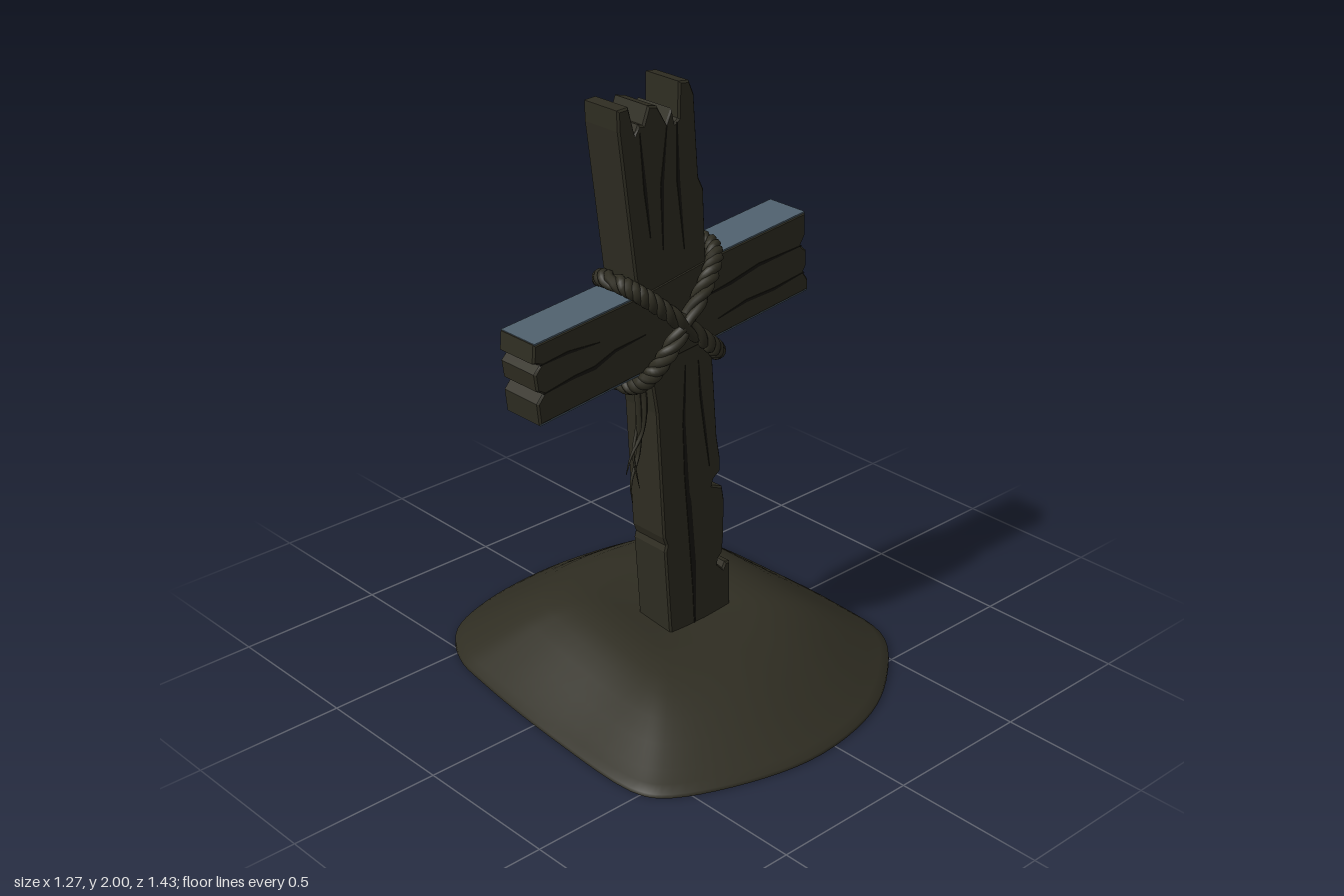
import * as THREE from 'three';

const V2 = (a) => a.map(([x, y]) => new THREE.Vector2(x, y));
const V3 = (a) => a.map(([x, y, z]) => new THREE.Vector3(x, y, z));

// Plank cut from an outline, with slightly worn edges
function plank(outline, z0, z1, mat, name) {
  const b = 0.006;
  const geo = new THREE.ExtrudeGeometry(new THREE.Shape(V2(outline)), {
    depth: z1 - z0 - 2 * b, bevelThickness: b, bevelSize: b, bevelOffset: -b, bevelSegments: 1,
  });
  geo.translate(0, 0, z0 + b);
  const mesh = new THREE.Mesh(geo, mat);
  mesh.name = name;
  return mesh;
}

// Tapered crack laid on the front and back of a plank
function crack(points, width, z0, z1, mat) {
  const group = new THREE.Group();
  group.name = 'crack';
  const p = V2(points), up = [], down = [];
  p.forEach((q, i) => {
    const t = p[Math.min(i + 1, p.length - 1)].clone().sub(p[Math.max(i - 1, 0)]).normalize();
    const w = 0.0012 + width * 0.5 * Math.sin(Math.PI * i / (p.length - 1));
    const n = new THREE.Vector2(-t.y, t.x).multiplyScalar(w);
    up.push(q.clone().add(n));
    down.unshift(q.clone().sub(n));
  });
  const geo = new THREE.ExtrudeGeometry(new THREE.Shape([...up, ...down]), { depth: 0.004, bevelEnabled: false });
  for (const z of [z0 - 0.002, z1 - 0.002]) {
    const mesh = new THREE.Mesh(geo, mat);
    mesh.position.z = z;
    group.add(mesh);
  }
  return group;
}

// One strand twisted around a rounded loop through the crossing
class Strand extends THREE.Curve {
  constructor(cx, cy, angle, half, phase) {
    super();
    Object.assign(this, { cx, cy, angle, half, phase });
  }
  core(t) {
    const a = t * Math.PI * 2, e = 2 / 3.2;
    const pw = (v) => Math.sign(v) * Math.pow(Math.abs(v), e);
    return [this.half * pw(Math.cos(a)), 0.115 * pw(Math.sin(a))];
  }
  getPoint(t, target = new THREE.Vector3()) {
    const [u, w] = this.core(t), a = t * Math.PI * 2;
    const twist = a * 11 + this.phase, r = 0.014;
    const out = 1 + 0;
    const du = Math.cos(a) * Math.cos(twist) * r * out;
    const dw = Math.sin(a) * Math.cos(twist) * r * out;
    const side = Math.sin(twist) * r;
    const c = Math.cos(this.angle), s = Math.sin(this.angle);
    return target.set(
      this.cx + (u + du) * c - side * s,
      this.cy + (u + du) * s + side * c,
      0.025 + w + dw);
  }
}

// Mound built from rings scaled inwards from its outline
function moundGeometry(outline) {
  const N = outline.length, pos = [], idx = [];
  const profile = [[0.02, 0.19], [0.15, 0.193], [0.3, 0.207], [0.4, 0.21], [0.5, 0.2], [0.6, 0.178],
    [0.7, 0.143], [0.8, 0.1], [0.9, 0.055], [0.96, 0.03], [1, 0.014], [1.002, 0]];
  for (const [s, h] of profile) {
    for (const p of outline) {
      const x = p.x * s, z = p.y * s;
      const lean = 1 - 0.13 * THREE.MathUtils.smoothstep(z, -0.15, 0.25) + 0.06 * THREE.MathUtils.smoothstep(-z, 0, 0.3);
      pos.push(x, h * lean, z);
    }
  }
  for (let i = 0; i < profile.length - 1; i++) {
    for (let j = 0; j < N; j++) {
      const k = (j + 1) % N, a = i * N + j, b = i * N + k, c = a + N, d = b + N;
      idx.push(a, d, c, a, b, d);
    }
  }
  for (let j = 1; j < N - 1; j++) idx.push(0, j + 1, j);
  const geo = new THREE.BufferGeometry();
  geo.setAttribute('position', new THREE.Float32BufferAttribute(pos, 3));
  geo.setIndex(idx);
  geo.computeVertexNormals();
  return geo;
}

export function createModel() {
  const model = new THREE.Group();
  model.name = 'woodenGraveMarker';
  const olive = new THREE.MeshStandardMaterial({ color: 0x2f2d22 });
  olive.name = 'darkOlive';
  const blue = new THREE.MeshStandardMaterial({ color: 0x4f606d });
  blue.name = 'slateBlue';
  const dark = new THREE.MeshStandardMaterial({ color: 0x17160f });
  dark.name = 'crackBlack';

  // Earth mound
  const edge = new THREE.CatmullRomCurve3(V3([
    [0, 0, -0.71], [0.18, 0, -0.7], [0.41, 0, -0.65], [0.54, 0, -0.58], [0.59, 0, -0.44], [0.61, 0, -0.17],
    [0.615, 0, 0.13], [0.58, 0, 0.385], [0.41, 0, 0.56], [0.2, 0, 0.675], [-0.09, 0, 0.72], [-0.36, 0, 0.665],
    [-0.57, 0, 0.56], [-0.615, 0, 0.48], [-0.61, 0, 0.1], [-0.57, 0, -0.29], [-0.535, 0, -0.46],
    [-0.44, 0, -0.6], [-0.25, 0, -0.68]]), true);
  const outline = edge.getPoints(96).slice(0, 96).map((p) => new THREE.Vector2(p.x, p.z));
  const mound = new THREE.Mesh(moundGeometry(outline), olive);
  mound.name = 'mound';
  const under = new THREE.Mesh(new THREE.ShapeGeometry(new THREE.Shape(outline)).rotateX(Math.PI / 2), olive);
  under.name = 'moundUnderside';
  model.add(mound, under);

  // Upright post with splintered top and chipped edges
  model.add(plank([
    [-0.11, 0.1], [0.15, 0.1], [0.147, 0.34], [0.125, 0.345], [0.115, 0.325], [0.092, 0.35], [0.096, 0.37],
    [0.113, 0.385], [0.118, 0.44], [0.12, 0.57], [0.11, 0.625], [0.065, 0.645], [0.072, 0.665], [0.1, 0.685],
    [0.1, 0.73], [0.085, 0.81], [0.066, 1.05], [0.03, 1.45], [0.02, 1.65], [0, 1.69], [-0.008, 1.79],
    [-0.02, 1.95], [-0.04, 1.995], [-0.08, 2], [-0.083, 1.89], [-0.097, 1.88], [-0.11, 1.926], [-0.13, 1.885],
    [-0.165, 1.945], [-0.2, 1.953], [-0.22, 1.9], [-0.238, 1.905], [-0.252, 1.878], [-0.275, 1.965],
    [-0.317, 1.963], [-0.315, 1.9], [-0.254, 1.44], [-0.17, 0.97], [-0.143, 0.53], [-0.132, 0.5], [-0.138, 0.48],
  ], -0.05, 0.1, olive, 'post'));

  // Crossbeam with ragged ends
  model.add(plank([
    [-0.63, 1.085], [-0.2, 1.13], [0.06, 1.155], [0.476, 1.2], [0.474, 1.235], [0.453, 1.265], [0.466, 1.285],
    [0.464, 1.335], [0.438, 1.358], [0.458, 1.39], [0.455, 1.465], [0.03, 1.423], [-0.25, 1.378], [-0.645, 1.343],
    [-0.65, 1.285], [-0.622, 1.275], [-0.646, 1.25], [-0.638, 1.195], [-0.614, 1.182], [-0.638, 1.155],
  ], -0.053, 0.103, olive, 'crossbeam'));

  // Pale faces along the top and bottom of the crossbeam
  for (const [x0, y0, x1, y1] of [
    [-0.642, 1.343, -0.25, 1.378], [0.03, 1.423, 0.453, 1.465],
    [-0.628, 1.085, -0.2, 1.13], [0.06, 1.155, 0.473, 1.2]]) {
    const plate = new THREE.Mesh(new THREE.BoxGeometry(Math.hypot(x1 - x0, y1 - y0), 0.005, 0.15), blue);
    plate.position.set((x0 + x1) / 2, (y0 + y1) / 2, 0.025);
    plate.rotation.z = Math.atan2(y1 - y0, x1 - x0);
    plate.name = 'beamEdgeFace';
    model.add(plate);
  }

  // Grain cracks on the post, then on the crossbeam
  for (const [pts, w] of [
    [[[-0.055, 1.1], [-0.06, 0.9], [-0.05, 0.72], [-0.03, 0.5], [-0.015, 0.3], [-0.012, 0.17]], 0.014],
    [[[-0.05, 0.71], [-0.035, 0.62], [-0.015, 0.4], [-0.008, 0.18]], 0.012],
    [[[0.0, 1.1], [0.01, 0.98], [0.03, 0.85], [0.05, 0.72]], 0.007],
    [[[-0.235, 1.88], [-0.215, 1.7], [-0.195, 1.55]], 0.009],
    [[[-0.13, 1.88], [-0.15, 1.7], [-0.145, 1.5]], 0.01],
    [[[-0.09, 1.88], [-0.085, 1.7], [-0.06, 1.48]], 0.01]]) model.add(crack(pts, w, -0.05, 0.1, dark));
  for (const [pts, w] of [
    [[[-0.615, 1.182], [-0.5, 1.2], [-0.42, 1.205], [-0.34, 1.235], [-0.22, 1.25]], 0.01],
    [[[-0.625, 1.275], [-0.52, 1.285], [-0.4, 1.28]], 0.007],
    [[[0.0, 1.3], [0.13, 1.318], [0.25, 1.345], [0.438, 1.358]], 0.01],
    [[[0.08, 1.215], [0.2, 1.24], [0.32, 1.245], [0.453, 1.265]], 0.008]]) model.add(crack(pts, w, -0.053, 0.103, dark));

  // Twisted rope lashing, two crossed loops
  for (const [cx, cy, dx, dy, half] of [[-0.09, 1.253, -0.41, 0.355, 0.243], [-0.0875, 1.267, 0.365, 0.42, 0.25]]) {
    const rope = new THREE.Group();
    rope.name = 'ropeLoop';
    for (let i = 0; i < 3; i++) {
      const strand = new Strand(cx, cy, Math.atan2(dy, dx), half, i * Math.PI * 2 / 3);
      const mesh = new THREE.Mesh(new THREE.TubeGeometry(strand, 220, 0.0155, 7, true), olive);
      mesh.name = 'ropeStrand';
      rope.add(mesh);
    }
    model.add(rope);
  }

  // Frayed rope ends hanging beside the post
  for (const [pts, r] of [
    [[[-0.2, 1.09, 0.06], [-0.187, 1.0, 0.06], [-0.195, 0.9, 0.055], [-0.235, 0.83, 0.05], [-0.255, 0.775, 0.05]], 0.011],
    [[[-0.21, 1.09, 0.05], [-0.2, 0.95, 0.05], [-0.2, 0.83, 0.045], [-0.235, 0.74, 0.05], [-0.23, 0.67, 0.05]], 0.011],
    [[[-0.19, 1.08, 0.04], [-0.2, 0.92, 0.04], [-0.225, 0.84, 0.05], [-0.215, 0.76, 0.055], [-0.2, 0.71, 0.05]], 0.007]]) {
    const curve = new THREE.CatmullRomCurve3(V3(pts));
    const geo = new THREE.TubeGeometry(curve, 24, r, 6);
    const p = geo.attributes.position, v = new THREE.Vector3();
    for (let i = 0; i < p.count; i++) {
      const t = Math.floor(i / 7) / 24, c = curve.getPointAt(t);
      v.fromBufferAttribute(p, i).sub(c).multiplyScalar(1 - 0.9 * t * t).add(c);
      p.setXYZ(i, v.x, v.y, v.z);
    }
    geo.computeVertexNormals();
    const mesh = new THREE.Mesh(geo, olive);
    mesh.name = 'frayedRopeEnd';
    model.add(mesh);
  }
  return model;
}
